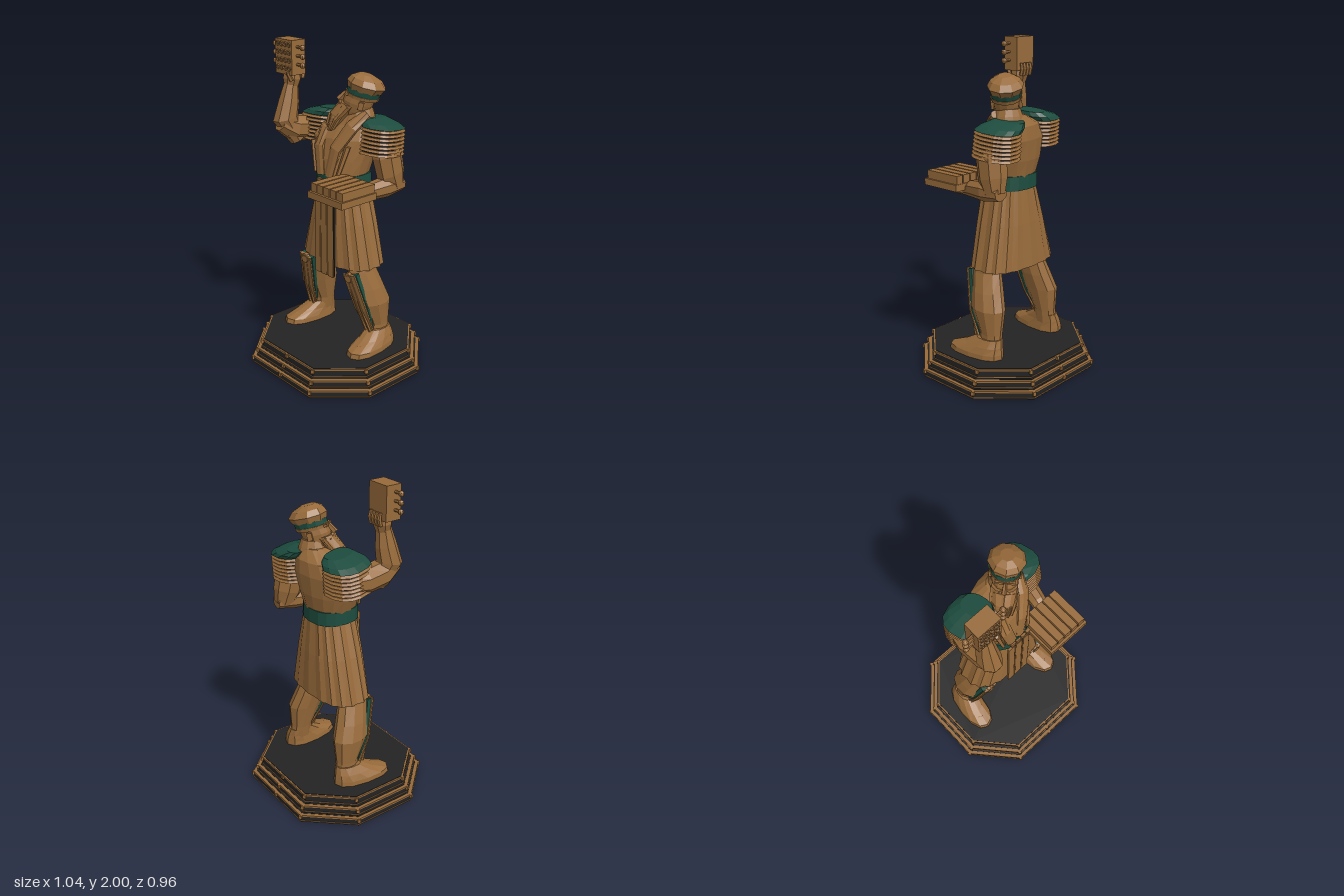
import * as THREE from 'three';

const material = (name, color) => Object.assign(new THREE.MeshStandardMaterial({ color }), { name });
const bronze = material('bronze', 0x986b3b);
const green = material('green enamel', 0x1d4c3e);
const black = material('black stone', 0x232324);
const V = (x, y, z) => new THREE.Vector3(x, y, z);

// Faceted mesh: every face keeps its own normal
function add(parent, name, geometry, mat = bronze, pos) {
  const g = geometry.index ? geometry.toNonIndexed() : geometry;
  g.computeVertexNormals();
  const mesh = new THREE.Mesh(g, mat);
  mesh.name = name;
  if (pos) mesh.position.set(...pos);
  parent.add(mesh);
  return mesh;
}

function group(parent, name) {
  const g = new THREE.Group();
  g.name = name;
  parent.add(g);
  return g;
}

// Closed skin over a list of rings with equal point counts
function loft(rings) {
  const n = rings[0].length, pos = [];
  const tri = (...pts) => pts.forEach(p => pos.push(p.x, p.y, p.z));
  for (let k = 0; k < rings.length - 1; k++) {
    const a = rings[k], b = rings[k + 1];
    for (let i = 0; i < n; i++) {
      const j = (i + 1) % n;
      tri(a[i], a[j], b[j]);
      tri(a[i], b[j], b[i]);
    }
  }
  const centre = r => r.reduce((s, p) => s.add(p), V(0, 0, 0)).divideScalar(n);
  const lo = rings[0], hi = rings[rings.length - 1], cl = centre(lo), ch = centre(hi);
  for (let i = 0; i < n; i++) {
    const j = (i + 1) % n;
    tri(cl, lo[j], lo[i]);
    tri(ch, hi[i], hi[j]);
  }
  return new THREE.BufferGeometry().setAttribute('position', new THREE.Float32BufferAttribute(pos, 3));
}

// Level rings, bottom to top: [cx, y, cz, rx, rz]; power below 1 squares the outline
function stack(rows, { n = 12, power = 1, pleat = 0, turn = 0 } = {}) {
  const bend = s => Math.sign(s) * Math.abs(s) ** power;
  return loft(rows.map(([cx, y, cz, rx, rz]) => Array.from({ length: n }, (_, i) => {
    const t = (i / n) * Math.PI * 2, f = i % 2 ? 1 - pleat : 1;
    const p = V(rx * f * bend(Math.sin(t)), 0, rz * f * bend(Math.cos(t)));
    return p.applyAxisAngle(V(0, 1, 0), turn).add(V(cx, y, cz));
  })));
}

// Rings square to a path: [x, y, z, ru, rv]
function limb(rows, ref = V(0, 0, 1), n = 8) {
  const pts = rows.map(r => V(r[0], r[1], r[2]));
  return loft(rows.map(([, , , ru, rv], k) => {
    const d = pts[Math.min(k + 1, pts.length - 1)].clone().sub(pts[Math.max(k - 1, 0)]).normalize();
    const u = ref.clone().cross(d).normalize(), v = d.clone().cross(u);
    return Array.from({ length: n }, (_, i) => {
      const t = ((i + 0.5) / n) * Math.PI * 2;
      return pts[k].clone().addScaledVector(u, ru * Math.cos(t)).addScaledVector(v, rv * Math.sin(t));
    });
  }));
}
const UP = V(0, 1, 0);

// Eight-sided stepped plinth
function buildBase(root) {
  const base = group(root, 'base');
  const half = [[0.275, 0.47], [0.512, 0.205], [0.512, -0.205], [0.275, -0.47]];
  const corners = [...half, ...half.map(([x, z]) => [-x, -z])];
  const slab = (name, s, y, h, mat) => {
    const shape = new THREE.Shape(corners.map(([x, z]) => new THREE.Vector2(x * s, z * s)));
    const g = new THREE.ExtrudeGeometry(shape, { depth: h, bevelEnabled: false }).rotateX(-Math.PI / 2);
    add(base, name, g, mat, [0, y, -0.008]);
  };
  [[1, 0], [0.945, 0.05], [0.885, 0.1]].forEach(([s, y], i) => {
    const h = i === 2 ? 0.058 : 0.05;
    slab('plinthTier', s * 0.992, y, h - 0.002, black);
    slab('upperRim', s, y + h - 0.01, 0.01, bronze);
    slab('lowerRim', s, y + 0.006, 0.005, bronze);
    if (i < 2) slab('ledgeInlay', s - 0.04, y + h, 0.002, black);
    for (const [x, z] of [...corners, [0, 0.47], [0, -0.47]]) {
      const stud = add(base, 'rimStud', new THREE.BoxGeometry(0.02, 0.024, 0.014), bronze, [x * s, y + h - 0.013, z * s - 0.008]);
      stud.rotation.y = Math.atan2(x, z);
    }
  });
  slab('plinthTop', 0.865, 0.155, 0.006, black);
}

// Leg with shoe and shin guard; s = 1 is the left side
function buildLeg(root, s) {
  const leg = group(root, s > 0 ? 'leftLeg' : 'rightLeg');
  add(leg, 'legSkin', stack([[s * 0.255, 0.22, -0.115, 0.055, 0.075], [s * 0.25, 0.3, -0.115, 0.06, 0.072],
    [s * 0.243, 0.45, -0.085, 0.082, 0.115], [s * 0.22, 0.55, -0.06, 0.08, 0.105],
    [s * 0.195, 0.66, -0.03, 0.068, 0.1], [s * 0.17, 0.78, -0.03, 0.07, 0.09]], { n: 10 }));
  add(leg, 'shoe', stack([[s * 0.285, 0.16, -0.025, 0.088, 0.19], [s * 0.285, 0.19, -0.028, 0.085, 0.185],
    [s * 0.275, 0.23, -0.075, 0.072, 0.13], [s * 0.26, 0.275, -0.11, 0.058, 0.083]], { n: 12, power: 0.85, turn: s * 0.1 }));
  add(leg, 'toeCap', stack([[s * 0.295, 0.18, 0.09, 0.055, 0.06], [s * 0.293, 0.215, 0.05, 0.035, 0.045]], { n: 8 }));
  // Green shin plate under a bronze face
  const path = [[0.265, 0.27, -0.052], [0.245, 0.42, 0.0], [0.2, 0.655, 0.058]];
  add(leg, 'shinPlate', limb(path.map(([x, y, z], i) => [s * x, y, z, [0.018, 0.052, 0.054][i], [0.008, 0.026, 0.034][i]])), green);
  add(leg, 'shinFace', limb(path.map(([x, y, z], i) => [s * x, y, z + [0.012, 0.022, 0.026][i], [0.03, 0.055, 0.055][i], 0.012])));
  for (const o of [-0.018, 0.018]) {
    add(leg, 'shinRidge', limb(path.map(([x, y, z]) => [s * x + o, y, z + 0.032, 0.008, 0.009]), undefined, 4));
  }
  const knee = add(leg, 'kneeBoss', new THREE.CylinderGeometry(0.03, 0.034, 0.02, 10), bronze, [s * 0.2, 0.635, 0.083]);
  knee.rotation.x = Math.PI / 2;
}

// Layered shoulder guard, tipped back
function buildPauldron(root, name, [cx, y, cz], rx, rz, inward) {
  const g = group(root, name), o = { n: 14, power: 0.8, turn: 0.22 };
  g.position.set(cx, y, cz);
  g.rotation.x = -0.1;
  add(g, 'guardCore', stack([[0, 0, 0, rx - 0.016, rz - 0.016], [0, 0.155, 0, rx - 0.022, rz - 0.02]], o), black);
  for (let i = 0; i < 7; i++) {
    const h = i * 0.0225, k = 1 - i * 0.006;
    add(g, 'guardStrip', stack([[0, h, 0, rx * k, rz * k], [0, h + 0.013, 0, rx * k - 0.01, rz * k - 0.01]], o));
  }
  add(g, 'guardCap', stack([[0, 0.152, 0, rx * 0.95, rz * 0.95], [inward * 0.4, 0.175, 0, rx * 0.85, rz * 0.88],
    [inward, 0.2, 0, rx * 0.5, rz * 0.65]], o), green);
}

function buildBody(root) {
  const body = group(root, 'body');
  // Pleated skirt with hanging front panel
  add(body, 'skirt', stack([[0, 0.68, -0.055, 0.285, 0.166], [0.01, 0.95, -0.05, 0.215, 0.155], [0.02, 1.18, -0.045, 0.15, 0.138]],
    { n: 36, power: 0.75, pleat: 0.045 }));
  add(body, 'panelBacking', new THREE.BoxGeometry(0.165, 0.535, 0.009), black, [0.015, 0.88, 0.106]);
  [-0.045, 0.012, 0.07].forEach((x, i) => {
    add(body, 'frontPanel', new THREE.BoxGeometry(0.046, 0.56, 0.014), bronze, [x, 0.885, 0.107]);
    if (i < 2) add(body, 'panelCord', new THREE.BoxGeometry(0.005, 0.535, 0.014), bronze, [x + 0.029, 0.88, 0.108]);
  });
  add(body, 'belt', stack([[0.015, 1.155, -0.045, 0.162, 0.15], [0.012, 1.24, -0.045, 0.158, 0.149]], { n: 16, power: 0.8 }), green);
  for (let i = 0; i < 4; i++) {
    add(body, 'beltBuckle', new THREE.BoxGeometry(0.032, 0.032, 0.018), bronze, [-0.03 + i * 0.04, 1.195, 0.105]);
  }
  // Twisted robe torso, lapels and collar
  add(body, 'torso', stack([[0.01, 1.22, -0.045, 0.15, 0.143], [0, 1.33, -0.06, 0.185, 0.15], [0, 1.45, -0.08, 0.215, 0.14],
    [0.02, 1.53, -0.1, 0.17, 0.115], [0.07, 1.59, -0.1, 0.085, 0.08]], { n: 16, power: 0.9, turn: 0.22 }));
  add(body, 'leftLapel', limb([[0.035, 1.23, 0.092, 0.035, 0.015], [0.07, 1.4, 0.07, 0.042, 0.02], [0.135, 1.53, 0.005, 0.045, 0.02], [0.17, 1.6, -0.08, 0.03, 0.025]]));
  add(body, 'rightLapel', limb([[-0.03, 1.23, 0.095, 0.035, 0.015], [-0.06, 1.4, 0.08, 0.04, 0.02], [-0.06, 1.5, 0.03, 0.04, 0.02], [-0.01, 1.57, -0.06, 0.03, 0.025]]));
  for (const x of [-0.11, -0.075, 0.09, 0.125]) {
    add(body, 'robeFold', limb([[x * 0.8, 1.235, 0.085, 0.012, 0.014], [x * 1.1, 1.42, 0.055 - x * 0.15, 0.018, 0.02]], undefined, 5));
  }
  add(body, 'collar', stack([[0.08, 1.52, -0.1, 0.115, 0.11], [0.09, 1.59, -0.105, 0.085, 0.085], [0.09, 1.63, -0.105, 0.07, 0.07]], { n: 12 }));
  buildPauldron(body, 'leftShoulderGuard', [0.23, 1.372, -0.14], 0.122, 0.138, -0.09);
  buildPauldron(body, 'rightShoulderGuard', [-0.195, 1.395, -0.065], 0.13, 0.14, 0.07);
}

// Head turned and lifted towards the raised hand
function buildHead(root) {
  const head = group(root, 'head');
  head.position.set(0.095, 1.655, -0.095);
  head.rotation.set(-0.25, -0.8, -0.06, 'YXZ');
  add(head, 'face', stack([[0, -0.1, 0.0, 0.055, 0.06], [0, -0.05, 0.01, 0.068, 0.08], [0, 0.0, 0.01, 0.078, 0.088], [0, 0.08, 0, 0.078, 0.088]]));
  add(head, 'nose', limb([[0, -0.015, 0.12, 0.016, 0.02], [0, 0.04, 0.092, 0.01, 0.012]], undefined, 5));
  add(head, 'moustache', limb([[-0.05, -0.045, 0.09, 0.012, 0.01], [0, -0.022, 0.11, 0.016, 0.016], [0.05, -0.045, 0.09, 0.012, 0.01]], UP, 6));
  for (const s of [-1, 1]) {
    add(head, 'brow', new THREE.BoxGeometry(0.045, 0.014, 0.02), bronze, [s * 0.032, 0.04, 0.086]);
    add(head, 'ear', new THREE.BoxGeometry(0.018, 0.045, 0.03), bronze, [s * 0.08, 0, -0.01]);
  }
  // Beard of separate locks around a solid core
  add(head, 'beardCore', stack([[0, -0.19, 0.115, 0.048, 0.035], [0, -0.1, 0.095, 0.064, 0.055], [0, -0.02, 0.055, 0.072, 0.055]], { n: 10 }));
  for (let i = -3; i <= 3; i++) {
    const e = Math.abs(i) * 0.008;
    add(head, 'beardLock', limb([[i * 0.018, -0.215 + e, 0.148 - e, 0.008, 0.009], [i * 0.022, -0.12, 0.148 - e * 1.6, 0.011, 0.013],
      [i * 0.022, -0.03, 0.105 - e * 1.7, 0.011, 0.014]], undefined, 5));
  }
  // Soft cap with coloured band
  add(head, 'capBand', stack([[0, 0.045, -0.005, 0.086, 0.096], [0, 0.08, -0.008, 0.09, 0.1]]), green);
  add(head, 'capBrim', stack([[0, 0.03, -0.005, 0.086, 0.097], [0, 0.05, -0.005, 0.091, 0.101]]));
  add(head, 'capCrown', stack([[0, 0.075, -0.008, 0.09, 0.1], [0, 0.112, -0.012, 0.106, 0.116], [0, 0.145, -0.005, 0.085, 0.092], [0, 0.168, 0.005, 0.04, 0.045]], { n: 9 }));
}

// Raised right arm holding a pegged block
function buildRightArm(root) {
  const arm = group(root, 'rightArm');
  add(arm, 'sleeve', limb([[-0.23, 1.46, -0.13, 0.08, 0.06], [-0.255, 1.46, 0, 0.083, 0.08], [-0.255, 1.475, 0.12, 0.075, 0.083], [-0.262, 1.52, 0.205, 0.05, 0.055]], UP));
  add(arm, 'forearm', limb([[-0.24, 1.4, 0.1, 0.045, 0.045], [-0.265, 1.54, 0.165, 0.07, 0.083], [-0.26, 1.64, 0.14, 0.056, 0.066], [-0.255, 1.74, 0.125, 0.04, 0.046]]));
  add(arm, 'hand', limb([[-0.255, 1.72, 0.125, 0.038, 0.044], [-0.255, 1.77, 0.118, 0.054, 0.056], [-0.255, 1.805, 0.118, 0.048, 0.05]]));
  for (let i = 0; i < 4; i++) {
    const x = -0.295 + i * 0.026;
    add(arm, 'finger', limb([[x, 1.77, 0.07, 0.011, 0.013], [x, 1.81, 0.06, 0.011, 0.013], [x, 1.845, 0.066, 0.009, 0.01]], undefined, 5));
  }
  add(arm, 'thumb', limb([[-0.215, 1.765, 0.155, 0.013, 0.014], [-0.22, 1.815, 0.18, 0.011, 0.011]], undefined, 5));
  const block = group(arm, 'peggedBlock');
  block.position.set(-0.26, 1.9, 0.125);
  add(block, 'block', new THREE.BoxGeometry(0.15, 0.2, 0.1));
  for (const y of [-0.04, 0.01, 0.06]) {
    add(block, 'pegRod', new THREE.CylinderGeometry(0.009, 0.009, 0.25, 6).rotateZ(Math.PI / 2), bronze, [0, y, 0.01]);
    for (const s of [-1, 1]) add(block, 'pegKnob', new THREE.SphereGeometry(0.017, 8, 6), bronze, [s * 0.123, y, 0.01]);
  }
  for (let i = 0; i < 16; i++) {
    add(block, 'faceRing', new THREE.TorusGeometry(0.012, 0.004, 4, 8), bronze, [-0.051 + (i % 4) * 0.034, -0.062 + Math.floor(i / 4) * 0.045, 0.051]);
  }
}

// Lowered left arm carrying a slatted tray
function buildLeftArm(root) {
  const arm = group(root, 'leftArm');
  add(arm, 'sleeve', limb([[0.295, 1.175, -0.19, 0.052, 0.065], [0.285, 1.26, -0.165, 0.07, 0.095], [0.275, 1.37, -0.145, 0.074, 0.1], [0.26, 1.46, -0.14, 0.07, 0.09]]));
  add(arm, 'forearm', limb([[0.3, 1.185, -0.24, 0.045, 0.04], [0.29, 1.185, -0.12, 0.06, 0.062], [0.27, 1.175, 0.0, 0.05, 0.052], [0.255, 1.15, 0.08, 0.035, 0.03]], UP));
  add(arm, 'hand', limb([[0.255, 1.15, 0.06, 0.038, 0.028], [0.25, 1.145, 0.12, 0.055, 0.025], [0.24, 1.15, 0.2, 0.04, 0.014]], UP));
  add(arm, 'tray', new THREE.BoxGeometry(0.285, 0.04, 0.265), bronze, [0.233, 1.185, 0.168]);
  for (let i = 0; i < 5; i++) {
    add(arm, 'traySlat', new THREE.BoxGeometry(0.046, 0.053, 0.245), bronze, [0.125 + i * 0.054, 1.228, 0.163]);
  }
}

export function createModel() {
  const root = new THREE.Group();
  root.name = 'statue';
  buildBase(root);
  for (const s of [-1, 1]) buildLeg(root, s);
  buildBody(root);
  buildHead(root);
  buildRightArm(root);
  buildLeftArm(root);
  return root;
}
